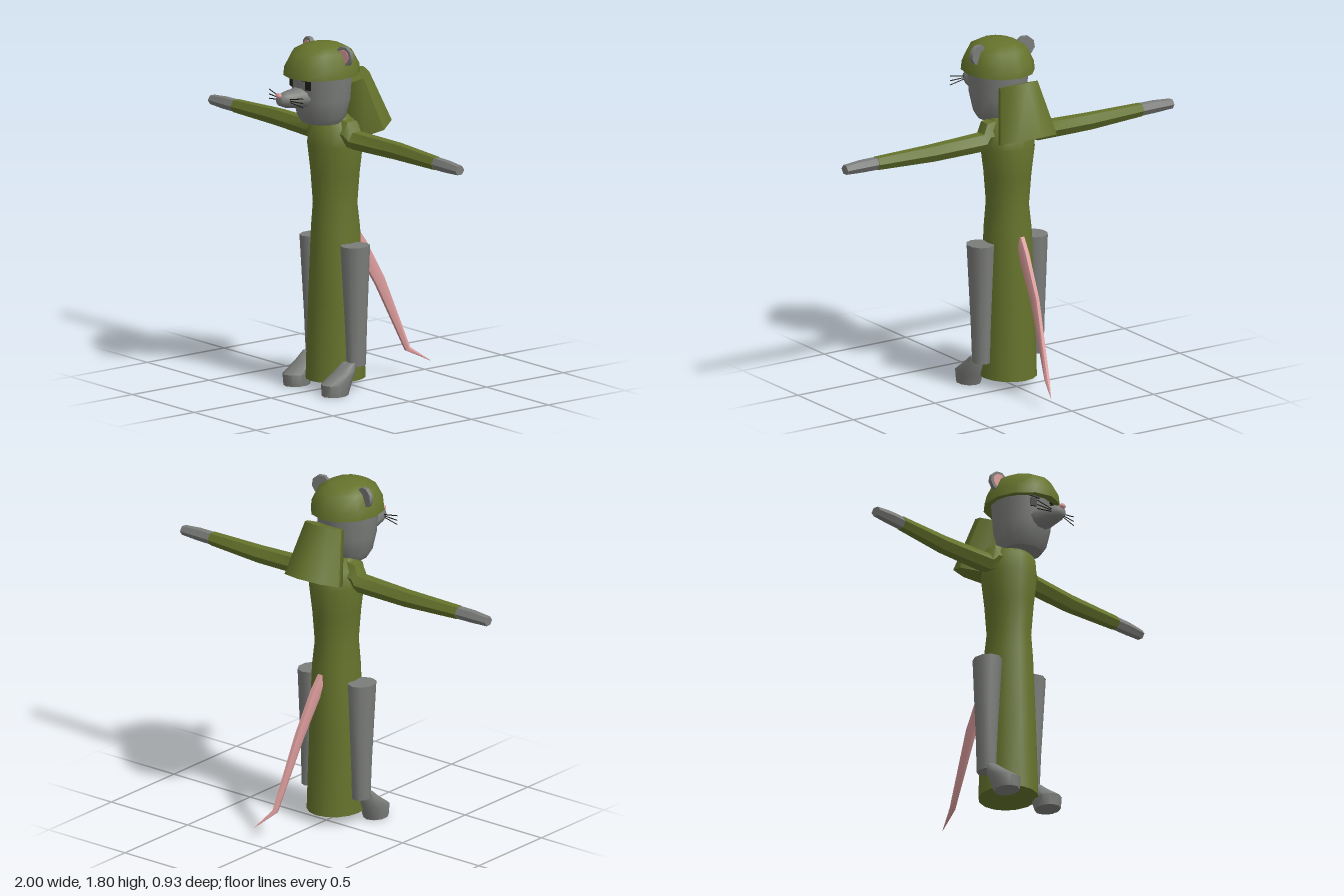
import * as THREE from 'three';
import { toCreasedNormals } from 'three/addons/utils/BufferGeometryUtils.js';

const X = [1, 0, 0], Y = [0, 1, 0], Z = [0, 0, 1], DOWN = [0, -1, 0];

// Closed skin over elliptical sections [x, y, z, radiusU, radiusV]; U x V points along the run
function loft(sections, n, U, V) {
  const pos = [], idx = [];
  for (const [x, y, z, a, b] of sections) {
    for (let j = 0; j < n; j++) {
      const t = (j / n) * Math.PI * 2, c = a * Math.cos(t), s = b * Math.sin(t);
      pos.push(x + c * U[0] + s * V[0], y + c * U[1] + s * V[1], z + c * U[2] + s * V[2]);
    }
  }
  const last = sections.length - 1;
  for (let i = 0; i < last; i++) {
    for (let j = 0; j < n; j++) {
      const k = (j + 1) % n, a = i * n + j, b = i * n + k;
      idx.push(a, b, b + n, a, b + n, a + n);
    }
  }
  for (let j = 1; j < n - 1; j++) {
    idx.push(0, j + 1, j, last * n, last * n + j, last * n + j + 1);
  }
  const g = new THREE.BufferGeometry();
  g.setAttribute('position', new THREE.Float32BufferAttribute(pos, 3));
  g.setIndex(idx);
  return g;
}

// Mirror in x and restore the winding
function mirror(geo) {
  const g = geo.toNonIndexed();
  const p = g.attributes.position;
  const v = [0, 1, 2].map(() => new THREE.Vector3());
  for (let i = 0; i < p.count; i += 3) {
    v.forEach((q, k) => q.fromBufferAttribute(p, i + k));
    [0, 2, 1].forEach((k, m) => p.setXYZ(i + m, -v[k].x, v[k].y, v[k].z));
  }
  return g;
}

export function createModel() {
  const root = new THREE.Group();
  const mat = (name, color) => {
    const m = new THREE.MeshStandardMaterial({ color });
    m.name = name;
    return m;
  };
  const olive = mat('olive cloth', 0x65732c);
  const grey = mat('grey fur', 0x7b7d7a);
  const pink = mat('pink skin', 0xd99a9a);
  const dark = mat('dark', 0x1b1812);

  const add = (name, geo, material) => {
    const mesh = new THREE.Mesh(toCreasedNormals(geo, 0.85), material);
    mesh.name = name;
    root.add(mesh);
  };
  const addPair = (name, geo, material) => {
    add('left' + name, geo, material);
    add('right' + name, mirror(geo), material);
  };

  // Long robe
  add('robe', loft([
    [0, 0.05, 0.08, 0.16, 0.145], [0, 0.45, 0.08, 0.145, 0.135],
    [0, 0.83, 0.08, 0.13, 0.12], [0, 0.96, 0.083, 0.12, 0.106],
    [0, 1.12, 0.083, 0.13, 0.12], [0, 1.27, 0.083, 0.145, 0.14],
    [0, 1.37, 0.09, 0.13, 0.13], [0, 1.42, 0.1, 0.075, 0.09],
  ], 16, Z, X), olive);

  // Hood hanging behind the neck
  add('hood', loft([
    [0, 1.61, -0.015, 0.11, 0.092], [0, 1.338, -0.102, 0.167, 0.133],
  ], 8, X, [0, -0.33, 0.944]), olive);

  // Sleeves and hands, hexagonal in section
  addPair('Sleeve', loft([
    [0.08, 1.345, 0.09, 0.065, 0.075], [0.14, 1.34, 0.085, 0.06, 0.075],
    [0.165, 1.31, 0.075, 0.055, 0.05], [0.48, 1.31, 0.06, 0.046, 0.046],
    [0.81, 1.31, 0.075, 0.037, 0.036],
  ], 6, Z, DOWN), olive);
  addPair('Hand', loft([
    [0.8, 1.31, 0.075, 0.034, 0.034], [0.9, 1.31, 0.077, 0.034, 0.033],
    [1, 1.308, 0.077, 0.029, 0.026],
  ], 6, Z, DOWN), grey);

  // Legs and feet
  addPair('Leg', loft([
    [0.165, 0.14, 0.078, 0.053, 0.043], [0.165, 0.35, 0.08, 0.06, 0.05],
    [0.165, 0.765, 0.085, 0.08, 0.069],
  ], 10, Z, X), grey);
  addPair('Foot', loft([
    [0.155, 0, 0.208, 0.072, 0.06], [0.155, 0.06, 0.2, 0.086, 0.066],
    [0.157, 0.12, 0.145, 0.055, 0.055], [0.16, 0.16, 0.12, 0.03, 0.042],
  ], 10, Z, X), grey);

  // Tail, bent twice and tapering
  add('tail', loft([
    [0, 0.79, -0.02, 0.022, 0.045], [0.005, 0.72, -0.075, 0.022, 0.04],
    [0.018, 0.51, -0.193, 0.019, 0.034], [0.05, 0.14, -0.348, 0.014, 0.017],
    [0.1, 0.07, -0.46, 0.001, 0.001],
  ], 6, X, [0, -0.5, 0.866]), pink);

  // Head and muzzle
  add('head', loft([
    [0, 1.395, 0.17, 0.1, 0.105], [0, 1.43, 0.17, 0.125, 0.128],
    [0, 1.52, 0.17, 0.152, 0.145], [0, 1.66, 0.17, 0.162, 0.155],
  ], 14, Z, X), grey);
  add('muzzle', loft([
    [0, 1.54, 0.27, 0.078, 0.06], [0, 1.54, 0.33, 0.07, 0.052],
    [0, 1.54, 0.41, 0.047, 0.042], [0, 1.54, 0.445, 0.03, 0.027],
    [0, 1.541, 0.452, 0.014, 0.013],
  ], 10, X, Y), grey);
  const nose = new THREE.SphereGeometry(0.016, 8, 6);
  nose.scale(1.25, 0.9, 0.9).translate(0, 1.567, 0.45);
  add('nose', nose, pink);

  // Round cap
  add('cap', loft([
    [0, 1.645, 0.17, 0.205, 0.182], [0, 1.69, 0.17, 0.2, 0.177],
    [0, 1.765, 0.17, 0.158, 0.142], [0, 1.795, 0.17, 0.1, 0.09],
    [0, 1.805, 0.17, 0.035, 0.03],
  ], 12, Z, X), olive);

  // Ears with pink linings
  const earPart = (r, depth, z) => {
    const g = new THREE.CylinderGeometry(r, r, depth, 9);
    return g.rotateX(Math.PI / 2).translate(0, 0, z).rotateY(0.2).translate(0.142, 1.752, 0.137);
  };
  addPair('Ear', earPart(0.053, 0.022, 0), grey);
  addPair('EarLining', earPart(0.038, 0.004, 0.012), pink);

  // Eyes and brows
  const eye = new THREE.BoxGeometry(0.032, 0.045, 0.009);
  eye.rotateY(0.45).translate(0.068, 1.61, 0.314);
  addPair('Eye', eye, dark);
  const brow = new THREE.BoxGeometry(0.055, 0.007, 0.009);
  brow.rotateZ(0.2).rotateY(0.45).translate(0.064, 1.641, 0.318);
  addPair('Brow', brow, dark);

  // Whiskers
  [1.57, 1.545, 1.522].forEach((y, i) => {
    const line = new THREE.LineCurve3(
      new THREE.Vector3(0.035, 1.548 - i * 0.006, 0.412), new THREE.Vector3(0.138, y, 0.4));
    addPair('Whisker' + (i + 1), new THREE.TubeGeometry(line, 1, 0.0028, 4), dark);
  });

  return root;
}
